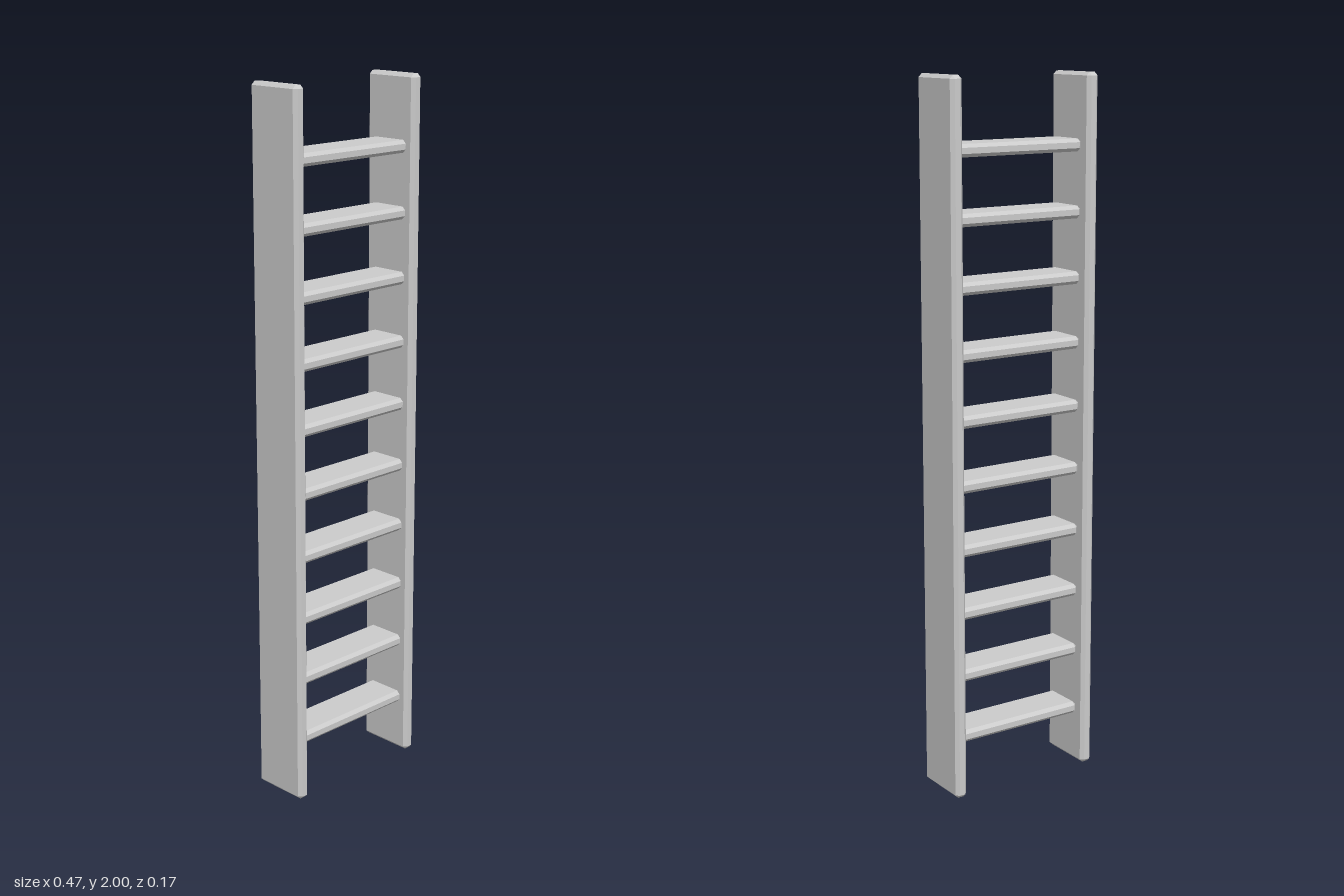
import * as THREE from 'three';
import { ConvexGeometry } from 'three/addons/geometries/ConvexGeometry.js';

const BEVEL = 0.0095;

// Box with every edge cut by a flat chamfer: three corner points per box corner
function chamferedBox(w, h, d, b = BEVEL) {
  const points = [];
  for (const sx of [-1, 1]) for (const sy of [-1, 1]) for (const sz of [-1, 1]) {
    const x = w / 2, y = h / 2, z = d / 2;
    points.push(
      new THREE.Vector3(sx * x, sy * (y - b), sz * (z - b)),
      new THREE.Vector3(sx * (x - b), sy * y, sz * (z - b)),
      new THREE.Vector3(sx * (x - b), sy * (y - b), sz * z)
    );
  }
  return new ConvexGeometry(points);
}

export function createModel() {
  const ladder = new THREE.Group();
  ladder.name = 'ladder';
  const material = new THREE.MeshStandardMaterial({ color: 0xcccccc, flatShading: true });

  const add = (name, geometry, x, y) => {
    const mesh = new THREE.Mesh(geometry, material);
    mesh.name = name;
    mesh.position.set(x, y, 0);
    ladder.add(mesh);
  };

  // Side rails
  const railGeometry = chamferedBox(0.036, 2, 0.172);
  add('leftRail', railGeometry, 0.2175, 1);
  add('rightRail', railGeometry, -0.2175, 1);

  // Flat treads: they just touch the right rail and sink into the left one
  const rungCount = 10, firstY = 0.169, lastY = 1.805;
  const rungGeometry = chamferedBox(0.41, 0.035, 0.12);
  for (let i = 0; i < rungCount; i++) {
    add(`rung${i + 1}`, rungGeometry, 0.005, firstY + (lastY - firstY) * i / (rungCount - 1));
  }

  return ladder;
}
